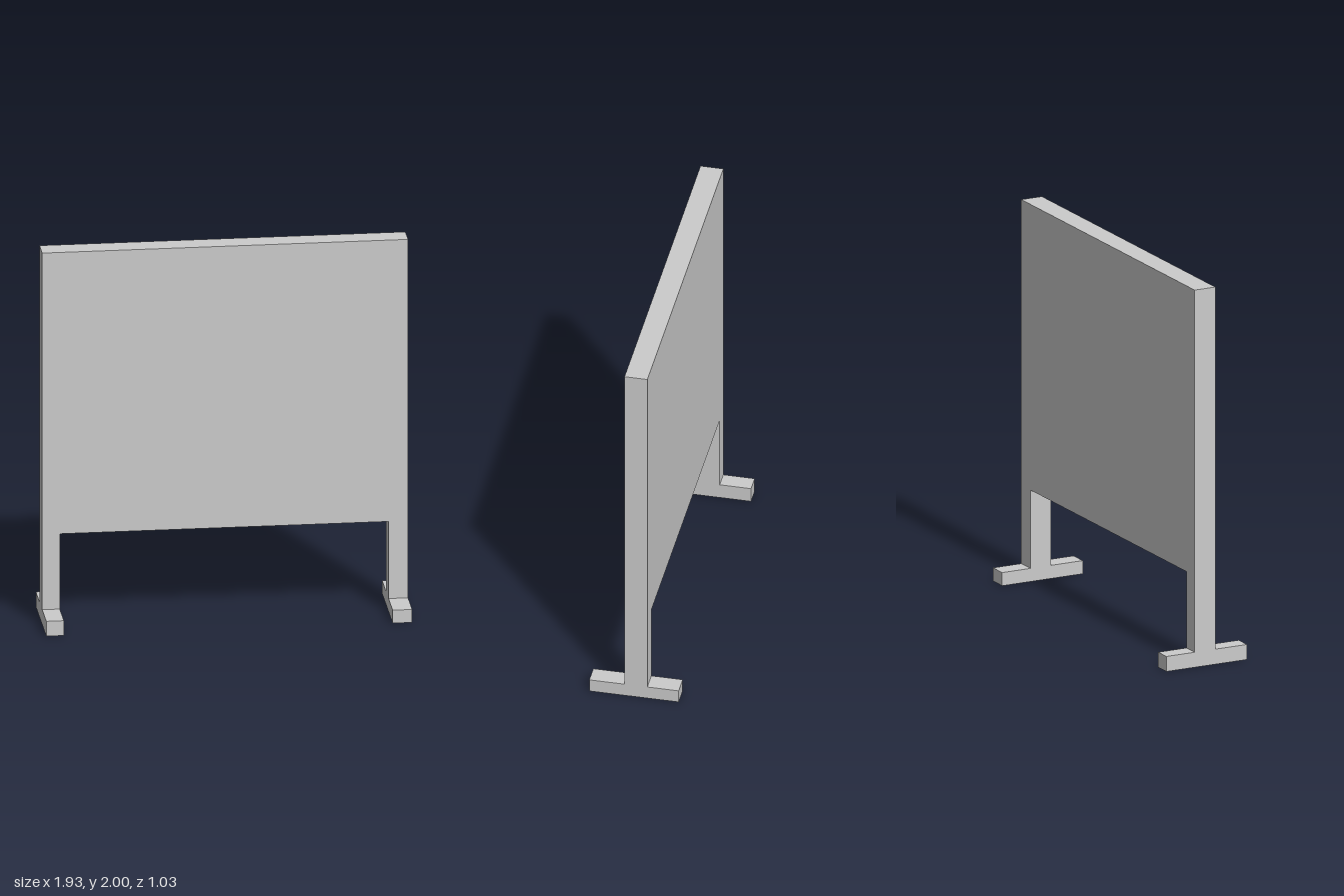
import * as THREE from 'three';

const TURN = THREE.MathUtils.degToRad(-18.34);
const HALF = 0.9375;      // half the board's length
const THICK = 0.119;      // board thickness
const BOARD_BOTTOM = 0.485;
const LEFT = { width: 0.1, footHeight: 0.07 };    // +x support
const RIGHT = { width: 0.09, footHeight: 0.08 };  // -x support

export function createModel() {
  const model = new THREE.Group();
  model.name = 'standingBoard';
  const material = new THREE.MeshStandardMaterial({ color: 0xcccccc, flatShading: true });

  // Everything is built square, then turned about the vertical axis
  const stand = new THREE.Group();
  stand.name = 'stand';
  stand.rotation.y = TURN;
  stand.position.z = -0.01;
  model.add(stand);

  // Board and its two legs, cut as one slab
  const outline = new THREE.Shape([
    [-HALF, RIGHT.footHeight],
    [-HALF + RIGHT.width, RIGHT.footHeight],
    [-HALF + RIGHT.width, BOARD_BOTTOM],
    [HALF - LEFT.width, BOARD_BOTTOM],
    [HALF - LEFT.width, LEFT.footHeight],
    [HALF, LEFT.footHeight],
    [HALF, 2],
    [-HALF, 2],
  ].map(([x, y]) => new THREE.Vector2(x, y)));
  const slab = new THREE.ExtrudeGeometry(outline, { depth: THICK, bevelEnabled: false });
  slab.translate(0, 0, -THICK / 2);
  const board = new THREE.Mesh(slab, material);
  board.name = 'boardWithLegs';
  stand.add(board);

  // Crosswise feet, flush with the board's ends
  for (const [name, side, { width, footHeight }] of [['leftFoot', 1, LEFT], ['rightFoot', -1, RIGHT]]) {
    const foot = new THREE.Mesh(new THREE.BoxGeometry(width, footHeight, 0.465), material);
    foot.name = name;
    foot.position.set(side * (HALF - width / 2), footHeight / 2, 0.01);
    stand.add(foot);
  }

  return model;
}
